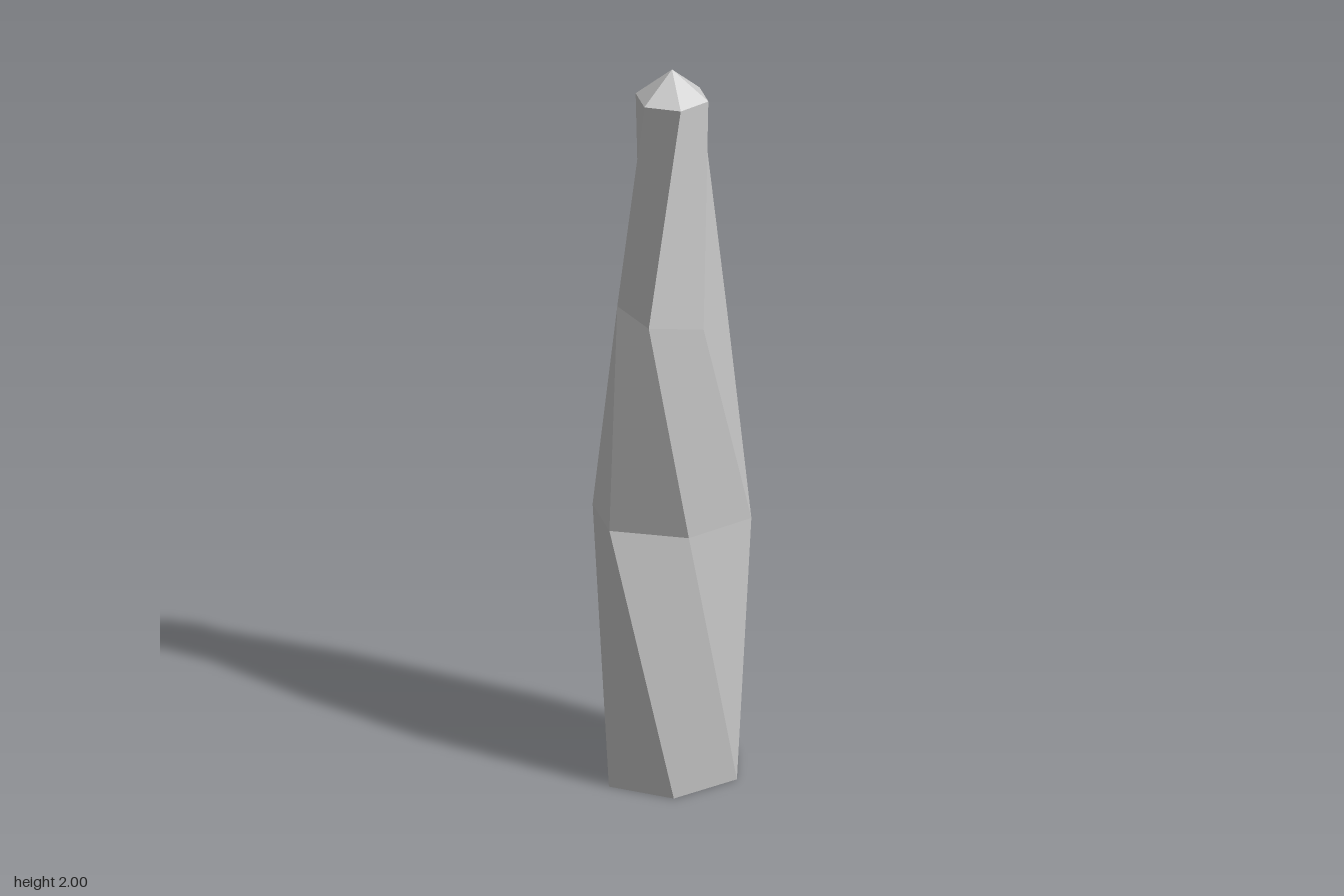
import * as THREE from 'three';

// Half of each six-sided ring as [x, z]; the other half is its point reflection
const rings = [
  { y: 0.0, half: [[-0.045, 0.21], [0.148, 0.12], [0.193, -0.09]] },
  { y: 0.735, half: [[-0.193, 0.096], [0, 0.193], [0.193, 0.096]] },
  { y: 1.32, half: [[-0.14, -0.037], [-0.095, 0.134], [0.045, 0.172]] },
  { y: 1.92, half: [[-0.087, 0.05], [0, 0.1], [0.087, 0.05]] },
].map(({ y, half }) => [
  ...half.map(([x, z]) => new THREE.Vector3(x, y, z)),
  ...half.map(([x, z]) => new THREE.Vector3(-x, y, -z)),
]);

// Builds a faceted mesh; every facet (3 or 4 corners) gets a single normal
function facetMesh(name, facets) {
  const positions = [], normals = [];
  for (const f of facets) {
    const [a, b, c, d = a] = f;
    const n = c.clone().sub(a).cross(d.clone().sub(b)).normalize();
    const corners = f.length === 4 ? [a, b, c, a, c, d] : [a, b, c];
    for (const p of corners) {
      positions.push(p.x, p.y, p.z);
      normals.push(n.x, n.y, n.z);
    }
  }
  const geometry = new THREE.BufferGeometry();
  geometry.setAttribute('position', new THREE.Float32BufferAttribute(positions, 3));
  geometry.setAttribute('normal', new THREE.Float32BufferAttribute(normals, 3));
  const mesh = new THREE.Mesh(geometry, new THREE.MeshStandardMaterial({ color: 0xcccccc }));
  mesh.name = name;
  return mesh;
}

// Twisted wall of six facets between two rings
const wall = (low, high) => low.map((p, i) => {
  const j = (i + 1) % 6;
  return [p, low[j], high[j], high[i]];
});

// Six triangles from a ring to a point
const fan = (ring, tip, flip = false) => ring.map((p, i) => {
  const q = ring[(i + 1) % 6];
  return flip ? [q, p, tip] : [p, q, tip];
});

export function createModel() {
  const group = new THREE.Group();
  group.name = 'crystalSpire';

  // Three twisted tiers of the shaft
  ['lowerShaft', 'middleShaft', 'upperShaft'].forEach((name, i) =>
    group.add(facetMesh(name, wall(rings[i], rings[i + 1]))));

  // Pointed tip and flat underside
  group.add(facetMesh('pointedTip', fan(rings[3], new THREE.Vector3(0, 2, 0))));
  group.add(facetMesh('base', fan(rings[0], new THREE.Vector3(0, 0, 0), true)));

  return group;
}
